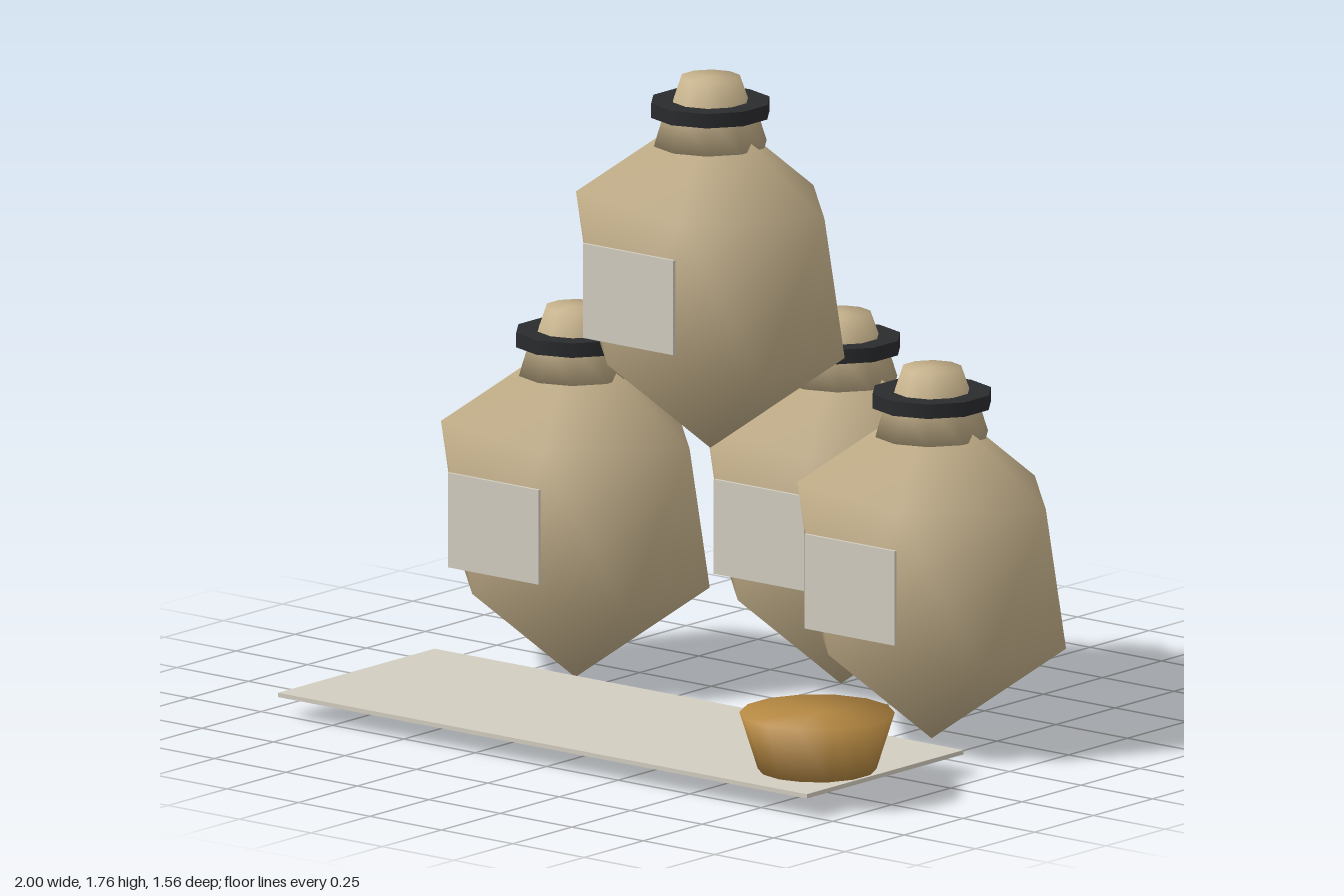
import * as THREE from 'three';

function paint(name, color) {
  const m = new THREE.MeshStandardMaterial({ color });
  m.name = name;
  return m;
}

// Twenty-sided smooth body: two poles and two staggered rings of five
function bodyGeometry(rx, ry, rz) {
  const pos = [0, -ry, 0];
  const idx = [];
  const h = 1 / Math.sqrt(5), r = 2 * h;
  for (let ring = 0; ring < 2; ring++) {
    for (let i = 0; i < 5; i++) {
      const a = (i / 5) * Math.PI * 2 + (ring ? 0.2 : 0) * Math.PI + Math.PI;
      pos.push(Math.cos(a) * r * rx, (ring ? h : -h) * ry, Math.sin(a) * r * rz);
    }
  }
  pos.push(0, ry, 0);
  for (let i = 0; i < 5; i++) {
    const j = (i + 1) % 5;
    const a = 1 + i, b = 1 + j, c = 6 + i, d = 6 + j;
    idx.push(0, a, b, a, c, b, b, c, d, c, 11, d);
  }
  const g = new THREE.BufferGeometry();
  g.setAttribute('position', new THREE.Float32BufferAttribute(pos, 3));
  g.setIndex(idx);
  g.computeVertexNormals();
  return g;
}

function lathe(points, sides) {
  return new THREE.LatheGeometry(points.map(([x, y]) => new THREE.Vector2(x, y)), sides);
}

export function createModel() {
  const model = new THREE.Group();
  model.name = 'stackedSacks';
  const cloth = paint('sackCloth', 0xc4b08a);
  const cord = paint('darkCord', 0x2a2b2d);
  const paper = paint('palePaper', 0xd2cdc0);
  const wood = paint('bowlWood', 0xb58842);

  const add = (parent, name, geometry, material, x, y, z) => {
    const mesh = new THREE.Mesh(geometry, material);
    mesh.name = name;
    mesh.position.set(x, y, z);
    parent.add(mesh);
    return mesh;
  };

  // Shared sack parts
  const body = bodyGeometry(0.447, 0.48, 0.321);
  body.scale(1, 1, 0.2875 / (0.321 * 0.8507));
  const neck = lathe([[0, 0.845], [0.157, 0.845], [0.125, 0.945]], 10);
  const gather = lathe([[0.112, 0.945], [0.082, 1.03], [0, 1.03]], 10);
  const tie = new THREE.CylinderGeometry(0.165, 0.165, 0.04, 10);
  const label = new THREE.BoxGeometry(0.316, 0.262, 0.009);

  // Three sacks below, one on top
  const places = [[-0.6, 0, -0.098], [0, 0, -0.497], [0.593, 0, -0.163], [-0.07, 0.73, -0.028]];
  for (const [x, y, z] of places) {
    const sack = new THREE.Group();
    sack.name = 'sack';
    sack.position.set(x, y, z);
    add(sack, 'sackBody', body, cloth, 0, 0.48, 0);
    add(sack, 'sackNeck', neck, cloth, 0, 0, 0);
    add(sack, 'sackTop', gather, cloth, 0, 0, 0);
    add(sack, 'neckTie', tie, cord, 0, 0.945, 0);
    add(sack, 'frontLabel', label, paper, 0, 0.476, 0.344);
    model.add(sack);
  }

  // Board in front with a filled bowl
  add(model, 'board', new THREE.BoxGeometry(1.85, 0.012, 0.664), paper, -0.003, 0.06, 0.433);
  add(model, 'bowl', lathe([[0, 0], [0.16, 0], [0.21, 0.157], [0, 0.157]], 14), wood, 0.793, 0.08, 0.565);

  return model;
}
